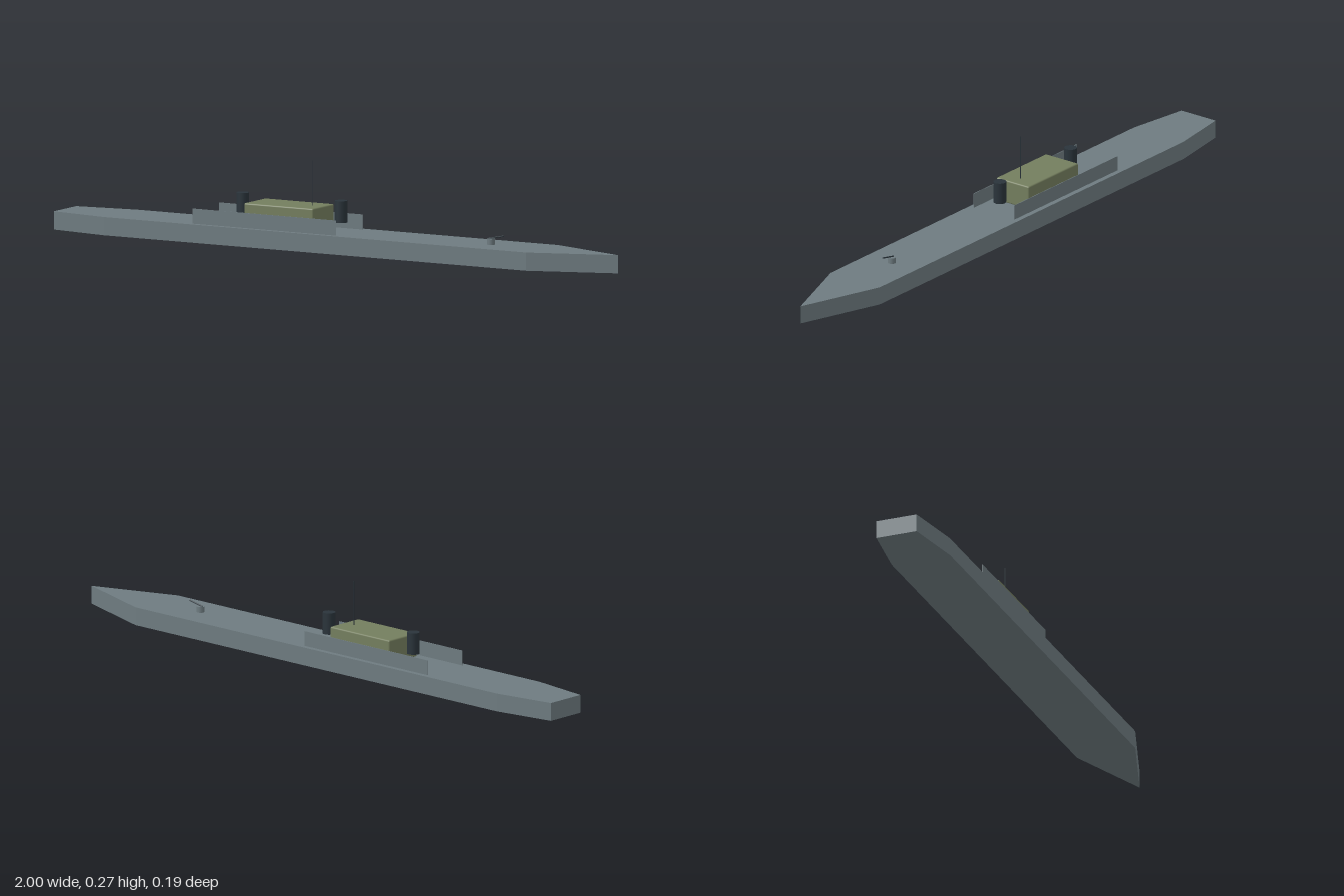
import * as THREE from 'three';
import { RoundedBoxGeometry } from 'three/addons/geometries/RoundedBoxGeometry.js';

const paint = (name, color) => {
  const m = new THREE.MeshStandardMaterial({ color });
  m.name = name;
  return m;
};

export function createModel() {
  const ship = new THREE.Group();
  ship.name = 'ship';
  const grey = paint('hull grey', 0x6e7b80);
  const olive = paint('cabin olive', 0x747e5e);
  const dark = paint('dark steel', 0x2a343b);

  const add = (name, geometry, material, x, y, z) => {
    const mesh = new THREE.Mesh(geometry, material);
    mesh.name = name;
    mesh.position.set(x, y, z);
    ship.add(mesh);
    return mesh;
  };

  // Hull: deck outline with pointed bow (+x) and tapered stern
  const deck = 0.057;
  const outline = new THREE.Shape([
    [1, 0], [0.725, 0.097], [-0.8, 0.097], [-1, 0.067],
    [-1, -0.067], [-0.8, -0.097], [0.725, -0.097],
  ].map(([x, y]) => new THREE.Vector2(x, y)));
  const hull = new THREE.ExtrudeGeometry(outline, { depth: deck, bevelEnabled: false });
  hull.rotateX(-Math.PI / 2);
  add('hull', hull, grey, 0, 0, 0);

  // Cabin with softened edges
  add('cabin', new RoundedBoxGeometry(0.25, 0.075, 0.128, 3, 0.005), olive, -0.19, deck + 0.0375, 0);

  // Thin side screens
  for (const side of [1, -1]) {
    add(side > 0 ? 'leftScreen' : 'rightScreen',
      new THREE.BoxGeometry(0.518, 0.047, 0.002), grey, -0.231, deck + 0.0235, side * 0.0795);
  }

  // Funnels fore and aft of the cabin
  for (const [name, x] of [['aftFunnel', -0.357], ['foreFunnel', -0.002]]) {
    add(name, new THREE.CylinderGeometry(0.02, 0.02, 0.068, 16), dark, x, 0.121, 0);
  }

  // Mast on the cabin roof
  add('mast', new THREE.CylinderGeometry(0.0015, 0.0015, 0.142, 8), dark, -0.106, 0.201, 0);

  // Deck gun with a raised barrel
  add('gunMount', new THREE.CylinderGeometry(0.0125, 0.0125, 0.018, 12), grey, 0.54, deck + 0.009, 0);
  const barrel = add('gunBarrel', new THREE.CylinderGeometry(0.0022, 0.0022, 0.055, 8), dark, 0.559, 0.081, 0);
  barrel.rotation.z = -Math.PI / 2 + 0.2;

  return ship;
}
